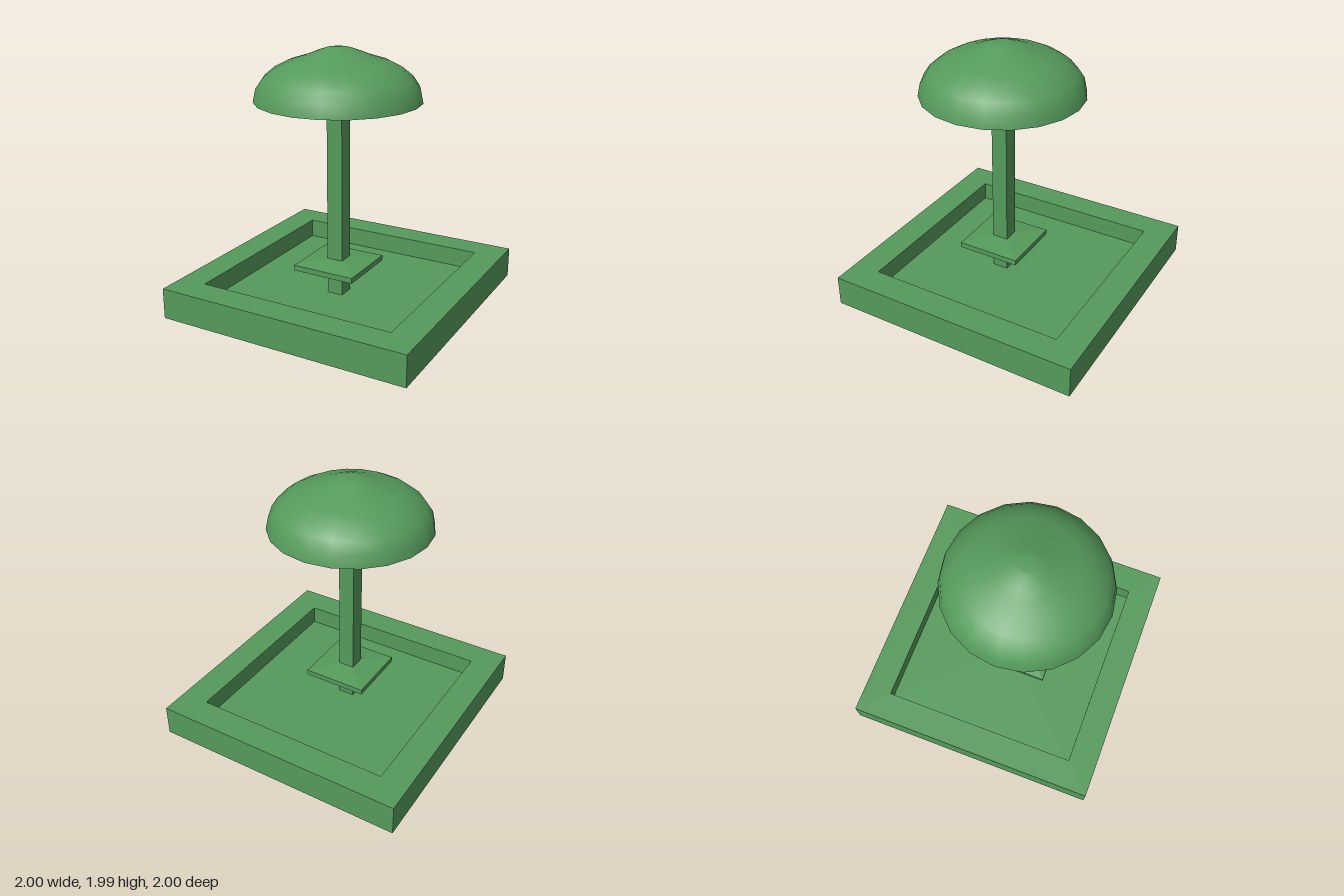
import * as THREE from 'three';

const GREEN = 0x559a5b;
const CENTRE_Z = 0.11; // post, collar and cap sit slightly forward

const flat = new THREE.MeshStandardMaterial({ color: GREEN, flatShading: true, side: THREE.DoubleSide });
const smooth = new THREE.MeshStandardMaterial({ color: GREEN });

// Square turned form: each profile point is [half width, height]
function squareLathe(profile) {
  const points = profile.map(([w, y]) => new THREE.Vector2(w * Math.SQRT2, y));
  return new THREE.LatheGeometry(points, 4).rotateY(Math.PI / 4);
}

function addPart(parent, name, geometry, material, y = 0, z = 0) {
  const mesh = new THREE.Mesh(geometry, material);
  mesh.name = name;
  mesh.position.set(0, y, z);
  parent.add(mesh);
  return mesh;
}

export function createModel() {
  const model = new THREE.Group();
  model.name = 'trayStand';

  // Tray: thin shell with a wide rim and a sunken floor, open underneath
  addPart(model, 'tray', squareLathe([[1, 0], [1, 0.24], [0.78, 0.24], [0.78, 0.09], [0, 0.09]]), flat);

  // Square post from tray floor to cap
  addPart(model, 'post', new THREE.BoxGeometry(0.126, 1.515, 0.126), flat, 0.09 + 1.515 / 2, CENTRE_Z);

  // Collar: square plate with shallow sloping faces
  addPart(model, 'collar',
    squareLathe([[0.063, 0.275], [0.25, 0.303], [0.25, 0.345], [0.063, 0.373]]), flat, 0, CENTRE_Z);

  // Cap: dome with a soft raised crown, closed below by a flat disc
  const capProfile = [
    [0.62, 1.605], [0.6, 1.7], [0.55, 1.775], [0.47, 1.84], [0.38, 1.887],
    [0.25, 1.928], [0.17, 1.96], [0.09, 1.988], [0.05, 1.992], [0, 1.993],
  ].map(([r, y]) => new THREE.Vector2(r, y));
  const cap = new THREE.Group();
  cap.name = 'cap';
  cap.position.z = CENTRE_Z;
  addPart(cap, 'capDome', new THREE.LatheGeometry(capProfile, 20), smooth);
  addPart(cap, 'capUnderside', new THREE.CircleGeometry(0.62, 20).rotateX(Math.PI / 2), smooth, 1.605);
  model.add(cap);

  return model;
}
